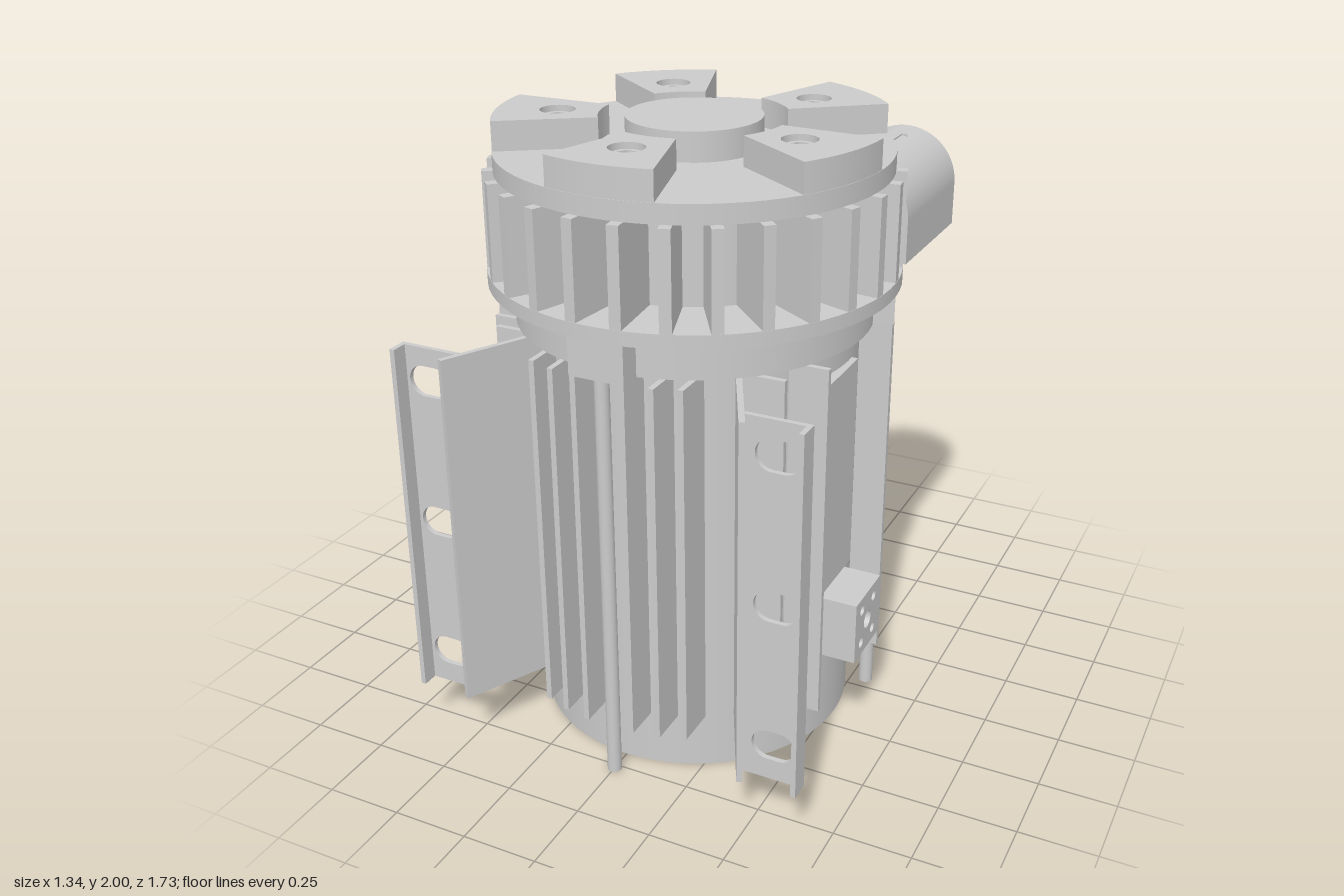
import * as THREE from 'three';

const ZC = 0.165; // z of the motor axis
const grey = new THREE.MeshStandardMaterial({ color: 0xcccccc, side: THREE.DoubleSide });

export function createModel() {
  const model = new THREE.Group();

  const add = (name, geo, x = 0, y = 0, z = 0) => {
    const m = new THREE.Mesh(geo, grey);
    m.name = name;
    m.position.set(x, y, z);
    model.add(m);
    return m;
  };
  const cyl = (name, r, y0, y1, x = 0, z = ZC, seg = 72) =>
    add(name, new THREE.CylinderGeometry(r, r, y1 - y0, seg), x, (y0 + y1) / 2, z);
  const box = (name, x0, x1, y0, y1, z0, z1) =>
    add(name, new THREE.BoxGeometry(x1 - x0, y1 - y0, z1 - z0), (x0 + x1) / 2, (y0 + y1) / 2, (z0 + z1) / 2);
  const extrude = (shape, depth) =>
    new THREE.ExtrudeGeometry(shape, { depth, bevelEnabled: false, curveSegments: 24 });
  // Extrude a plan outline (x, -z) upwards
  const extrudeUp = (shape, depth) => extrude(shape, depth).rotateX(-Math.PI / 2);
  const rectShape = (x0, x1, y0, y1) => new THREE.Shape(
    [[x0, y0], [x1, y0], [x1, y1], [x0, y1]].map(p => new THREE.Vector2(...p)));
  const circle = (x, y, r) => new THREE.Path().absarc(x, y, r, 0, Math.PI * 2, true);
  const hexagon = r => new THREE.Path(Array.from({ length: 6 }, (_, i) =>
    new THREE.Vector2(r * Math.cos(i * Math.PI / 3), r * Math.sin(i * Math.PI / 3))));

  const Y0 = 0.185, Y1 = 1.375; // height range of the finned housing

  // Motor core, neck, flange, pump drum and cover
  cyl('motorCore', 0.52, 0, Y1);
  cyl('neck', 0.565, Y1, 1.5);
  cyl('flange', 0.645, 1.5, 1.545);
  cyl('pumpDrum', 0.43, 1.545, 1.85);
  cyl('rearColumn', 0.1, 1.545, 1.85, 0, -0.33, 32);
  cyl('coverDisc', 0.61, 1.848, 1.908);
  cyl('coverHub', 0.21, 1.908, 2);

  // Cooling fins of the housing: front and back
  const reach = (d, r) => Math.sqrt(r * r - d * d);
  const T = 0.009;
  for (const s of [-1, 1]) {
    for (const x of [0.08, 0.165, 0.245])
      box('frontFin', s * x - T, s * x + T, Y0, Y1, ZC + 0.4, ZC + reach(x, 0.635));
    for (const [x, z] of [[0.08, -0.465], [0.19, -0.46], [0.3, -0.43], [0.41, -0.42]])
      box('backFin', s * x - T, s * x + T, Y0, Y1, z, ZC - 0.25);
  }
  // Side fins
  for (const z of [0.56, 0.43, -0.01, -0.1])
    box('leftFin', 0.33, reach(z - ZC, 0.625), Y0, Y1, z - T, z + T);
  for (const z of [0.56, 0.48, 0.4, 0.32, 0.24, 0.16, 0.08, -0.01, -0.1])
    box('rightFin', -reach(z - ZC, 0.625), -0.33, Y0, Y1, z - T, z + T);

  // Tie rods with their lugs under the flange
  for (const [x, z] of [[0, 0.765], [0.55, -0.05], [-0.55, -0.05]]) {
    cyl('tieRod', 0.023, 0, 1.5, x, z, 20);
    const lug = add('rodLug', new THREE.BoxGeometry(0.18, 1.5 - Y1, 0.16), x * 0.92, (1.5 + Y1) / 2, ZC + (z - ZC) * 0.92);
    lug.rotation.y = Math.atan2(x, z - ZC);
  }

  // Nameplate and terminal block on the left side
  box('nameplate', 0.42, 0.54, 0.575, 1.29, 0.13, 0.41);
  const blockShape = rectShape(-0.105, 0.105, -0.105, 0.105);
  blockShape.holes.push(circle(0, 0, 0.03));
  for (const a of [-0.05, 0.05])
    for (const b of [-0.06, 0.06]) blockShape.holes.push(circle(a, b, 0.017));
  add('terminalBlock', extrude(blockShape, 0.175).rotateY(Math.PI / 2), 0.48, 0.455, 0.26);
  const screw = (r, y, z) =>
    add('terminalScrew', new THREE.CylinderGeometry(r, r, 0.14, 20).rotateZ(Math.PI / 2), 0.57, y, z);
  screw(0.024, 0.455, 0.26);
  for (const a of [-0.05, 0.05]) for (const b of [-0.06, 0.06]) screw(0.011, 0.455 + b, 0.26 + a);

  // Mounting brackets: slanted web, slotted plate and lip
  for (const s of [-1, 1]) {
    const web = rectShape(0, 0.358, Y0, Y1);
    if (s > 0) web.holes.push(circle(0.2, 0.785, 0.025));
    const w = add('bracketWeb', extrude(web, 0.018).translate(0, 0, -0.009), s * 0.328, 0, 0.545);
    w.rotation.y = Math.atan2(-0.32, s * 0.16);

    const plate = rectShape(-0.1, 0.1, Y0, Y1);
    for (const y of [1.265, 0.785, 0.305]) {
      const slot = new THREE.Path();
      slot.absarc(s * 0.005 + 0.02, y, 0.05, -Math.PI / 2, Math.PI / 2, false);
      slot.absarc(s * 0.005 - 0.02, y, 0.05, Math.PI / 2, Math.PI * 1.5, false);
      slot.closePath();
      plate.holes.push(slot);
    }
    add('bracketPlate', extrude(plate, 0.016), s * 0.567, 0, 0.794);
    box('bracketLip', s * 0.66 - 0.008, s * 0.66 + 0.008, Y0, Y1, 0.794, 0.862);
  }

  // Spring clip at the back, one curved leaf per side
  for (const s of [-1, 1]) {
    const curve = new THREE.CatmullRomCurve3([
      [0.102, -0.855], [0.155, -0.82], [0.195, -0.75], [0.205, -0.68], [0.195, -0.615],
      [0.165, -0.56], [0.125, -0.515], [0.098, -0.472], [0.085, -0.34],
    ].map(([x, z]) => new THREE.Vector3(s * x, -z, 0)));
    const inner = [], outer = [];
    for (let i = 0; i <= 40; i++) {
      const p = curve.getPoint(i / 40), t = curve.getTangent(i / 40);
      inner.push(new THREE.Vector2(p.x - t.y * 0.006, p.y + t.x * 0.006));
      outer.push(new THREE.Vector2(p.x + t.y * 0.006, p.y - t.x * 0.006));
    }
    add('springClip', extrudeUp(new THREE.Shape([...inner, ...outer.reverse()]), 0.475), 0, 0.63, 0);
  }

  // Radial fins around the pump drum, left out behind the ports
  for (let i = 0; i < 28; i++) {
    const a = (i + 0.5) * Math.PI / 14; // measured from the front
    if (Math.cos(a) < -0.4) continue;
    const fin = add('pumpFin', new THREE.BoxGeometry(0.036, 0.303, 0.225),
      0.531 * Math.sin(a), 1.6965, ZC + 0.531 * Math.cos(a));
    fin.rotation.y = a;
  }

  // Inlet and outlet ports with round top, bore and direction arrow
  for (const s of [-1, 1]) {
    const outline = () => {
      const p = new THREE.Shape();
      p.moveTo(-0.173, -0.14);
      p.lineTo(0.173, -0.14);
      p.absarc(0, 0, 0.173, 0, Math.PI, false);
      p.closePath();
      return p;
    };
    const mouth = outline();
    mouth.holes.push(circle(0, 0, 0.062));
    add('port', extrude(mouth, 0.2), s * 0.437, 1.682, -0.528);
    add('portBody', extrude(outline(), 0.26), s * 0.437, 1.682, -0.328);

    const arrow = new THREE.Shape([[-0.025, -0.08], [0.025, -0.08], [0.025, 0.01], [0.045, 0.01],
      [0, 0.08], [-0.045, 0.01], [-0.025, 0.01]].map(p => new THREE.Vector2(...p)));
    const m = add('flowArrow', extrudeUp(arrow, 0.02), s * 0.437, 1.838, -0.393);
    if (s < 0) m.rotation.y = Math.PI;
  }

  // Raised cover segments with sunk hexagon socket bolts
  const half = 0.285;
  for (let i = 0; i < 5; i++) {
    const seg = new THREE.Shape();
    seg.absarc(0, 0, 0.608, -half, half, false);
    seg.absarc(0, 0, 0.29, half, -half, true);
    seg.closePath();
    seg.holes.push(circle(0.42, 0, 0.055));
    const a = -Math.PI / 2 + i * Math.PI * 2 / 5;
    add('coverSegment', extrudeUp(seg, 0.095), 0, 1.905, ZC).rotation.y = a;

    const head = new THREE.Shape().absarc(0, 0, 0.045, 0, Math.PI * 2, false);
    head.holes.push(hexagon(0.033));
    add('boltHead', extrudeUp(head, 0.075), 0.42 * Math.cos(a), 1.908, ZC - 0.42 * Math.sin(a));
  }

  return model;
}
